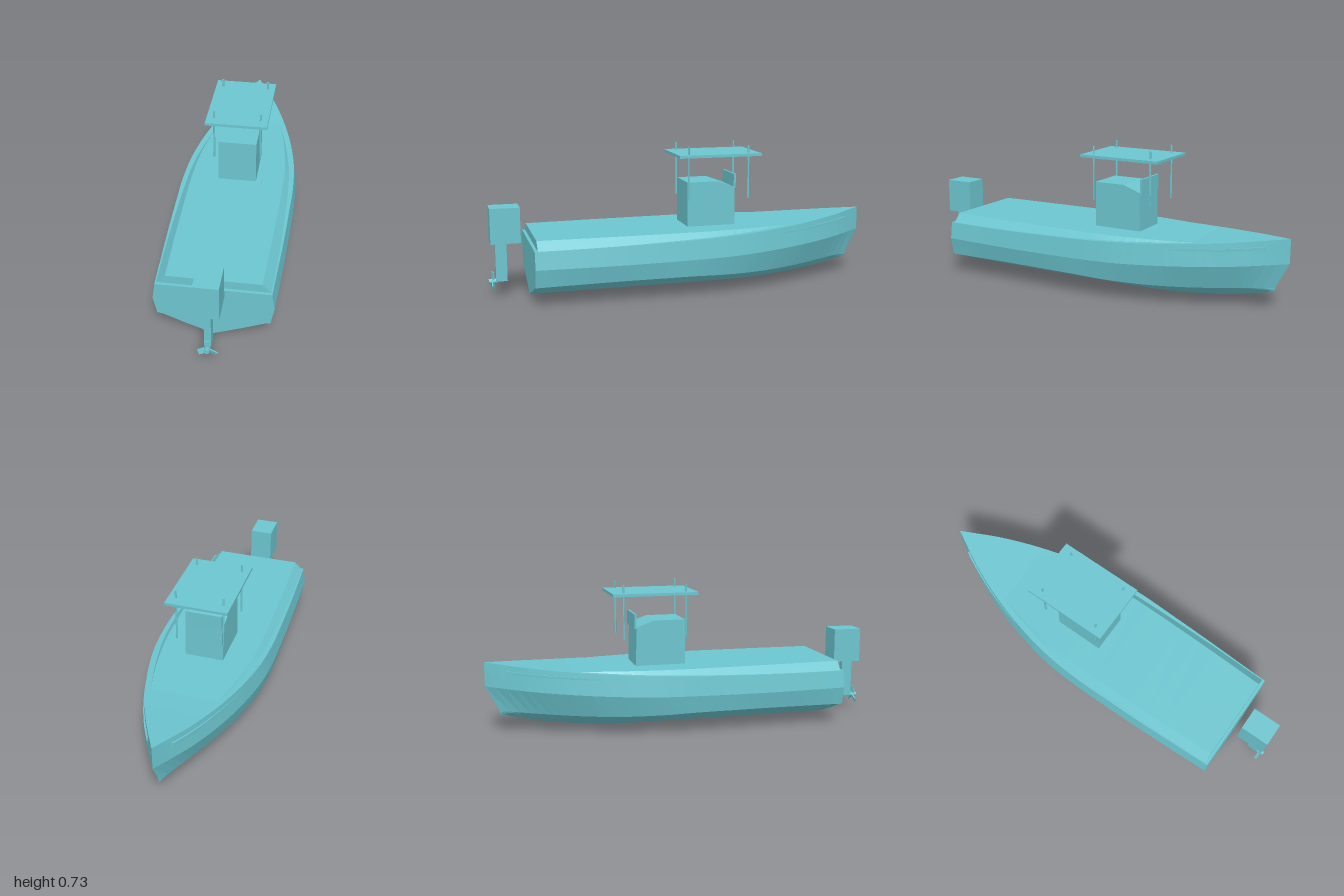
import * as THREE from 'three';

const teal = new THREE.MeshStandardMaterial({ color: 0x6cc5cf, flatShading: true });
teal.name = 'teal paint';

function add(parent, name, geometry, x = 0, y = 0, z = 0) {
  const mesh = new THREE.Mesh(geometry, teal);
  mesh.name = name;
  mesh.position.set(x, y, z);
  parent.add(mesh);
  return mesh;
}

// Box given by its lower and upper limits on each axis
function box(parent, name, [x0, x1], [y0, y1], [z0, z1]) {
  return add(parent, name, new THREE.BoxGeometry(x1 - x0, y1 - y0, z1 - z0),
    (x0 + x1) / 2, (y0 + y1) / 2, (z0 + z1) / 2);
}

// Skin closed rings (clockwise seen from +z) running towards -z, with end caps
function loft(rings) {
  const n = rings[0].length, index = [];
  for (let i = 0; i < rings.length - 1; i++) {
    for (let j = 0; j < n; j++) {
      const a = i * n + j, b = i * n + (j + 1) % n;
      index.push(a, b, b + n, a, b + n, a + n);
    }
  }
  const last = (rings.length - 1) * n;
  for (let j = 1; j < n - 1; j++) {
    index.push(0, j + 1, j, last, last + j, last + j + 1);
  }
  const geometry = new THREE.BufferGeometry().setFromPoints(rings.flat());
  geometry.setIndex(index);
  const flat = geometry.toNonIndexed();
  flat.computeVertexNormals();
  return flat;
}

const mirror = (p) => new THREE.Vector3(-p.x, p.y, p.z);

// Smooth fore-and-aft line from evenly spaced stations, transom to bow
function hullLine(xs, ys, bowZ) {
  const points = ys.map((y, i) => new THREE.Vector3(
    xs ? xs[i] : 0, y, 0.8 + (bowZ - 0.8) * i / (ys.length - 1)));
  return new THREE.CatmullRomCurve3(points, false, 'catmullrom', 0.5);
}

const sheer = hullLine(
  [0.272, 0.28, 0.287, 0.291, 0.293, 0.28, 0.243, 0.185, 0.105, 0],
  [0.277, 0.278, 0.281, 0.286, 0.292, 0.3, 0.31, 0.322, 0.338, 0.357], -1);
const beam = hullLine(
  [0.285, 0.293, 0.299, 0.303, 0.304, 0.292, 0.254, 0.195, 0.112, 0],
  [0.19, 0.19, 0.19, 0.192, 0.195, 0.198, 0.204, 0.212, 0.222, 0.235], -1);
const chine = hullLine(
  [0.267, 0.272, 0.278, 0.283, 0.285, 0.27, 0.23, 0.168, 0.09, 0.006],
  [0.1, 0.103, 0.106, 0.107, 0.107, 0.1, 0.095, 0.095, 0.1, 0.107], -0.93);
const keel = hullLine(null,
  [0, 0, 0, 0, 0, 0, 0.003, 0.018, 0.045, 0.087], -0.93);

function hullGeometry() {
  const rings = [];
  for (let i = 0; i <= 36; i++) {
    const u = i / 36;
    const s = sheer.getPoint(u), b = beam.getPoint(u), c = chine.getPoint(u), k = keel.getPoint(u);
    const inner = new THREE.Vector3(c.x * 0.88, c.y - 0.007, c.z);
    const bottom = new THREE.Vector3(inner.x * 0.56, k.y + (inner.y - k.y) * 0.53, c.z);
    const side = [s, b, c, inner, bottom];
    rings.push([...side, k, ...side.map(mirror).reverse()]);
  }
  return loft(rings);
}

// Flat raised deck with sloping sides, sinking into the rising foredeck
function deckGeometry() {
  const edge = new THREE.SplineCurve([
    [0.785, 0.224], [0.4, 0.236], [0.0, 0.241], [-0.2, 0.232],
    [-0.4, 0.205], [-0.57, 0.167], [-0.64, 0.145],
  ].map(([z, x]) => new THREE.Vector2(z, x)));
  const rings = edge.getPoints(24).map(({ x: z, y: x }) => {
    const slope = z > -0.2 ? 0.045 : 0.045 - 0.03 * (-0.2 - z) / 0.44;
    const half = [new THREE.Vector3(x, 0.32, z), new THREE.Vector3(x + slope, 0.275, z)];
    return [...half, ...half.map(mirror).reverse()];
  });
  return loft(rings);
}

// Spray rail on the bow, growing from nothing towards its square front end
function railGeometry(left) {
  const rings = [];
  for (let i = 0; i <= 12; i++) {
    const t = i / 12, u = (1.25 + 0.45 * t) / 1.8;
    const p = sheer.getPoint(u).lerp(beam.getPoint(u), 0.25 + 0.07 * t);
    const out = 0.001 + 0.009 * t, h = 0.002 + 0.007 * t;
    const ring = [[-0.01, h], [out, h], [out, -h], [-0.01, -h]].map(
      ([dx, dy]) => new THREE.Vector3(p.x + dx, p.y + dy, p.z));
    rings.push(left ? ring : ring.map(mirror).reverse());
  }
  return loft(rings);
}

export function createModel() {
  const boat = new THREE.Group();
  boat.name = 'motorboat';

  add(boat, 'hull', hullGeometry());
  add(boat, 'raisedDeck', deckGeometry());
  add(boat, 'leftSprayRail', railGeometry(true));
  add(boat, 'rightSprayRail', railGeometry(false));

  // Steering console, extruded across from its side profile
  const profile = new THREE.Shape([
    [0, 0.31], [0.255, 0.31], [0.25, 0.515], [0.16, 0.548], [0, 0.548],
  ].map(([x, y]) => new THREE.Vector2(x, y)));
  const consoleGeometry = new THREE.ExtrudeGeometry(profile, { depth: 0.196, bevelEnabled: false });
  consoleGeometry.translate(0, 0, -0.098).rotateY(Math.PI / 2);
  add(boat, 'console', consoleGeometry);
  box(boat, 'windscreen', [-0.092, 0.092], [0.507, 0.582], [-0.26, -0.249]);

  // Sun roof on four poles
  const canopy = new THREE.Group();
  canopy.name = 'canopy';
  boat.add(canopy);
  box(canopy, 'roof', [-0.156, 0.156], [0.678, 0.692], [-0.377, 0.056]);
  const pole = new THREE.CylinderGeometry(0.005, 0.005, 0.274, 8);
  for (const x of [-0.118, 0.118]) {
    for (const z of [-0.318, 0]) add(canopy, 'pole', pole, x, 0.595, z);
  }

  // Outboard motor
  const motor = new THREE.Group();
  motor.name = 'outboardMotor';
  boat.add(motor);
  box(motor, 'cowling', [-0.059, 0.059], [0.278, 0.455], [0.841, 0.988]);
  box(motor, 'leg', [-0.016, 0.016], [0.08, 0.28], [0.908, 0.964]);

  // Three-bladed propeller
  const propeller = new THREE.Group();
  propeller.name = 'propeller';
  propeller.position.set(0, 0.08, 0.98);
  motor.add(propeller);
  add(propeller, 'hub', new THREE.CylinderGeometry(0.013, 0.013, 0.04, 12).rotateX(Math.PI / 2));
  for (let i = 0; i < 3; i++) {
    const blade = new THREE.BoxGeometry(0.026, 0.04, 0.006);
    blade.rotateY(0.35).translate(0, 0.028, 0).rotateZ(i * Math.PI * 2 / 3);
    add(propeller, 'blade', blade);
  }
  return boat;
}
